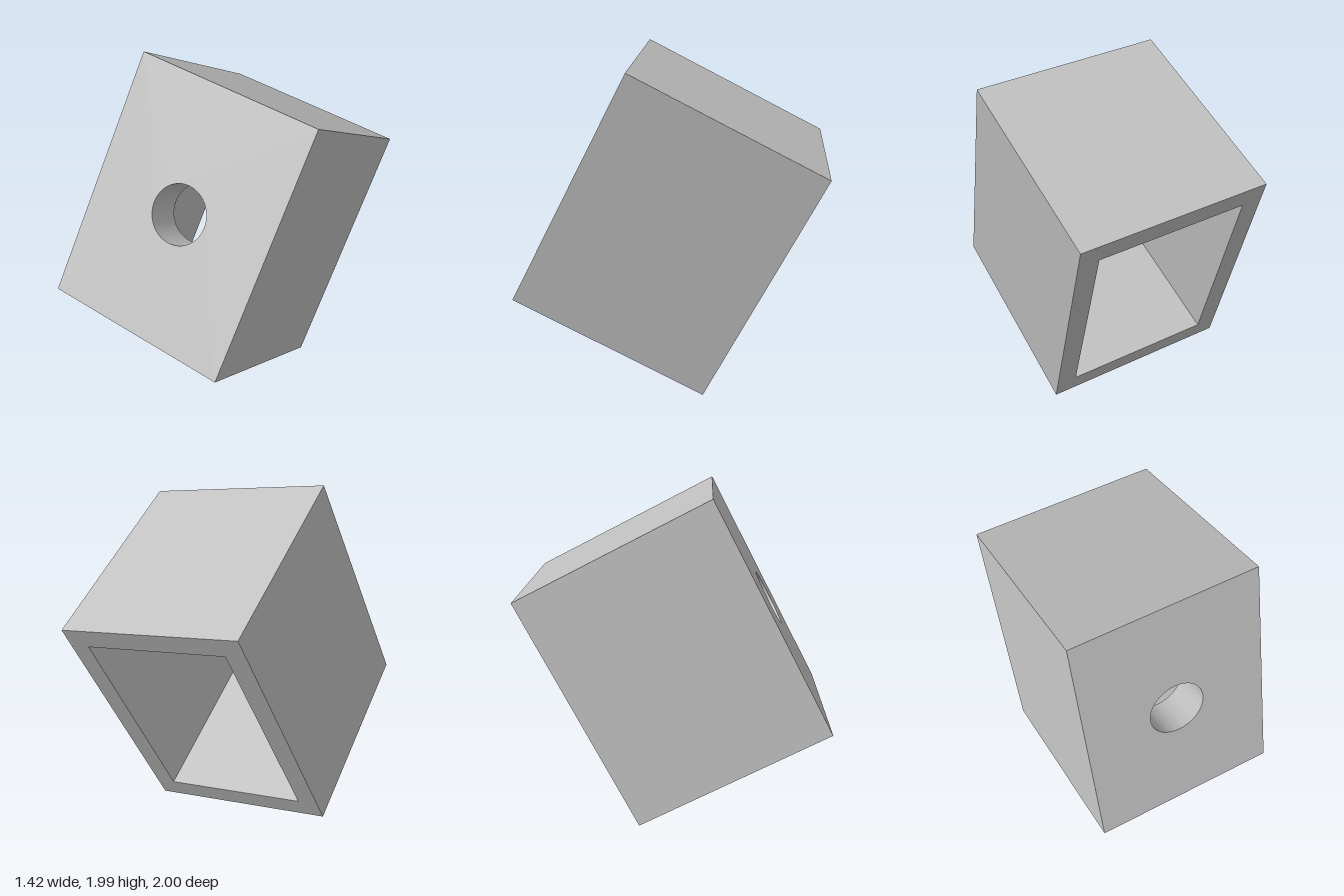
import * as THREE from 'three';
import { toCreasedNormals } from 'three/addons/utils/BufferGeometryUtils.js';

const W = 1.122, H = 1.459, D = 1.212; // outer size of the block
const WALL = 0.121, PLATE = 0.243, HOLE = 0.169;

function rect(Type, w, h) {
  return new Type([[-1, -1], [1, -1], [1, 1], [-1, 1]].map(([x, y]) => new THREE.Vector2(x * w / 2, y * h / 2)));
}

function extruded(name, hole, depth, z, material) {
  const shape = rect(THREE.Shape, W, H);
  shape.holes.push(hole);
  const geometry = new THREE.ExtrudeGeometry(shape, { depth, bevelEnabled: false, curveSegments: 64 });
  geometry.translate(0, 0, z);
  const mesh = new THREE.Mesh(toCreasedNormals(geometry, 0.5), material);
  mesh.name = name;
  return mesh;
}

export function createModel() {
  const grey = new THREE.MeshStandardMaterial({ color: 0xc0c0c0 });
  grey.name = 'light grey';

  const housing = new THREE.Group();
  housing.name = 'housing';

  // Four walls around a cavity that is open at the back
  const cavity = rect(THREE.Path, W - 2 * WALL, H - 2 * WALL);
  housing.add(extruded('sleeve', cavity, D - PLATE, -D / 2, grey));

  // Thick front plate with a round bore through its middle
  const bore = new THREE.Path().absarc(0, 0, HOLE, 0, Math.PI * 2, true);
  housing.add(extruded('frontPlate', bore, PLATE, D / 2 - PLATE, grey));

  // Tilt the block so that it stands on one corner
  const up = new THREE.Vector3(0, 1.28, -0.7).normalize();
  const front = new THREE.Vector3(0.34, 0.56, 1.024).normalize();
  const side = new THREE.Vector3().crossVectors(up, front).normalize();
  up.crossVectors(front, side);
  housing.quaternion.setFromRotationMatrix(new THREE.Matrix4().makeBasis(side, up, front));
  housing.position.y = 0.994;

  const model = new THREE.Group();
  model.name = 'model';
  model.add(housing);
  return model;
}
